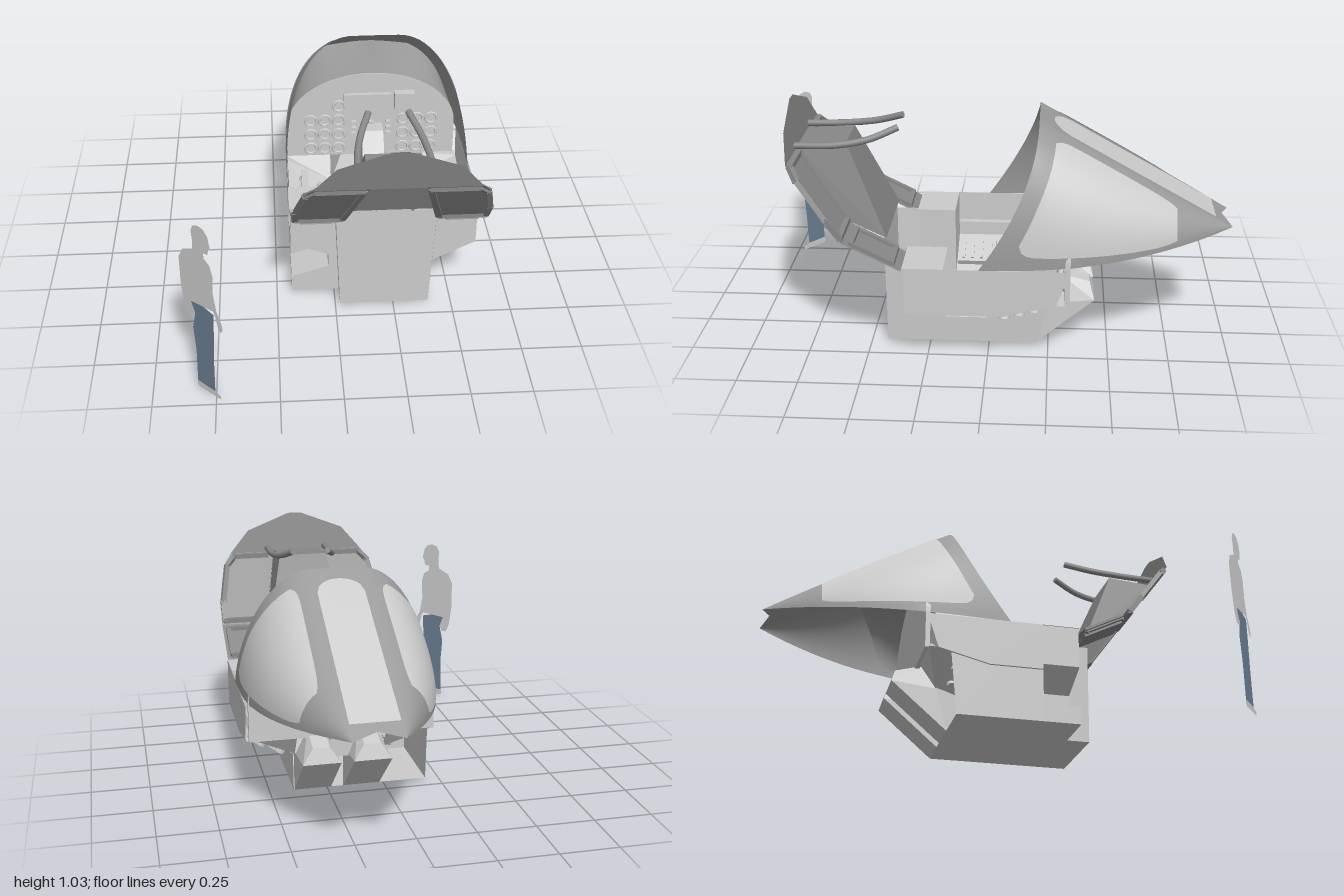
import * as THREE from 'three';

const mat = (color = 0xcccccc, flat = true) =>
  new THREE.MeshStandardMaterial({ color, flatShading: flat, side: THREE.DoubleSide });
const grey = mat(), dark = mat(0x888888), hoodMat = mat(0x9a9a9a, false), glass = mat(0xcccccc, false);
const tubeMat = mat(0x888888, false);
const V = (p) => new THREE.Vector3(...p);
const Z = new THREE.Vector3(0, 0, 1);
const MID = 0.21; // centre line of the cockpit

function add(parent, name, geo, m = grey, pos = [0, 0, 0]) {
  const mesh = new THREE.Mesh(geo, m);
  mesh.name = name;
  mesh.position.set(...pos);
  parent.add(mesh);
  return mesh;
}
const box = (parent, name, size, pos, m = grey) => add(parent, name, new THREE.BoxGeometry(...size), m, pos);

// Flat sheet through any planar outline
function sheet(parent, name, pts, m = grey) {
  const n = new THREE.Vector3();
  pts.forEach((p, i) => n.add(V(p).cross(V(pts[(i + 1) % pts.length]))));
  const a = [Math.abs(n.x), Math.abs(n.y), Math.abs(n.z)];
  const drop = a.indexOf(Math.max(...a));
  const flat = pts.map((p) => new THREE.Vector2(...p.filter((_, i) => i !== drop)));
  const g = new THREE.BufferGeometry();
  g.setAttribute('position', new THREE.Float32BufferAttribute(pts.flat(), 3));
  g.setIndex(THREE.ShapeUtils.triangulateShape(flat, []).flat());
  g.computeVertexNormals();
  return add(parent, name, g, m);
}

// Square bar between two points
function bar(parent, name, a, b, w, m) {
  const A = V(a), B = V(b);
  const mesh = box(parent, name, [w, w, A.distanceTo(B) + w * 0.5], A.clone().lerp(B, 0.5).toArray(), m);
  mesh.quaternion.setFromUnitVectors(Z, B.sub(A).normalize());
}

// Curved surface from a function of u, v in 0..1
function surface(parent, name, fn, nu, nv, m) {
  const g = new THREE.PlaneGeometry(1, 1, nu, nv);
  const p = g.attributes.position, uv = g.attributes.uv;
  for (let i = 0; i < p.count; i++) p.setXYZ(i, ...fn(uv.getX(i), uv.getY(i)));
  g.computeVertexNormals();
  return add(parent, name, g, m);
}

const shapeOf = (pts) => new THREE.Shape(pts.map((p) => new THREE.Vector2(...p)));
const extrude = (pts, depth) => new THREE.ExtrudeGeometry(shapeOf(pts), { depth, bevelEnabled: false });

// Hood section rules along z
const lerp = THREE.MathUtils.lerp;
const topY = (z) => 0.53 + 0.45 * (z + 1) / 0.8;
const lowY = (z) => 0.45 + 0.08 * Math.pow(Math.max(0, (0.03 - z) / 1.03), 1.8);
const halfW = (z) => 0.1 + 0.3 * (1 - Math.pow(THREE.MathUtils.clamp((-0.1 - z) / 0.9, 0, 1), 2.2));
const mouthZ = (phi) => -0.2 + 0.23 * Math.pow(1 - Math.cos(phi), 1.65);
function hoodPoint(k, phi, z, lift = 0) {
  return [k * (0.1 + (halfW(z) - 0.1 + lift) * Math.sin(phi)),
    lowY(z) + (Math.min(topY(z), 0.98) - lowY(z) + lift) * Math.cos(phi), z];
}

function buildHood(root) {
  const hood = new THREE.Group();
  hood.name = 'hood';
  root.add(hood);
  for (const k of [-1, 1]) {
    surface(hood, 'hoodSide', (u, v) => {
      const phi = u * Math.PI / 2;
      return hoodPoint(k, phi, lerp(mouthZ(phi), -1, v));
    }, 24, 32, hoodMat);
    // Side window follows the hood, with corners drawn in
    surface(hood, 'sideWindow', (u, v) => {
      const e = 0.08 * Math.pow(Math.abs(2 * v - 1), 10);
      const q = lerp(e, 1 - e, u);
      const z = lerp(mouthZ(lerp(0.25, 1.4, q)) - 0.07, -0.76, v);
      const start = Math.asin(0.07 / Math.max(0.08, halfW(z) - 0.1));
      return hoodPoint(k, lerp(start, 1.47, q), z, 0.004);
    }, 16, 24, glass);
  }
  // Flat centre strip with a small notch at the nose
  surface(hood, 'hoodCentre', (u, v) => {
    const x = (u * 2 - 1) * 0.1;
    const z = lerp(-0.2, -0.965 - 0.35 * Math.abs(x), v);
    return [x, topY(z), z];
  }, 8, 4, hoodMat);
  surface(hood, 'frontWindow', (u, v) => {
    const s = u * 2 - 1;
    const z = lerp(-0.33 + 0.07 * Math.sqrt(1 - s * s), -0.93, v);
    return [s * 0.097, topY(z) + 0.004, z];
  }, 16, 2, glass);
}

function buildTub(root) {
  sheet(root, 'floor', [[-0.19, 0.013, 0.43], [0.19, 0.013, 0.43], [0.19, 0.013, -0.2], [-0.19, 0.013, -0.2]]);
  sheet(root, 'rearWall', [[-0.19, 0.013, 0.43], [0.19, 0.013, 0.43], [0.21, 0.49, 0.43], [-0.21, 0.49, 0.43]]);
  for (const k of [-1, 1]) {
    const rear = k > 0 ? 0.33 : 0.17; // the right bay ends in a notched block
    const f = (name, pts) => sheet(root, name, pts.map(([x, y, z]) => [k * x, y, z]));
    f('tubWall', [[0.19, 0.013, 0.43], [0.209, 0.45, 0.43], [0.209, 0.45, 0.33], [0.195, 0.14, 0.33],
      [0.195, 0.14, -0.06], [0.198, 0.2, -0.25], [0.19, 0.013, -0.2]]);
    f('consolePanel', [[0.19, 0.14, rear], [0.4, 0.245, rear], [0.4, 0.245, -0.06], [0.19, 0.14, -0.06]]);
    f('consoleFront', [[0.19, 0.14, -0.06], [0.4, 0.245, -0.06], [0.4, 0.3, -0.28]]);
    f('consoleFront', [[0.19, 0.14, -0.06], [0.4, 0.3, -0.28], [0.19, 0.2, -0.25]]);
    f('consoleNose', [[0.19, 0.2, -0.25], [0.4, 0.3, -0.28], [0.4, 0.3, -0.32], [0.19, 0.3, -0.32]]);
    f('outerWall', [[0.4, 0.245, rear], [0.4, 0.45, rear], [0.4, 0.45, -0.33], [0.4, 0.3, -0.28], [0.4, 0.245, -0.06]]);
    f('bayEnd', [[0.19, 0.14, rear], [0.4, 0.245, rear], [0.4, 0.45, rear], [0.19, 0.45, rear]]);
    f('deck', [[0.19, 0.45, 0.335], [0.4, 0.45, 0.335], [0.4, 0.45, 0.17], [0.19, 0.45, 0.17]]);

    // Switch boxes and dials set into the sloped console
    const tilt = new THREE.Group();
    tilt.name = 'consoleControls';
    tilt.position.set(k * 0.295, 0.195, 0);
    tilt.rotation.z = k * Math.atan2(0.105, 0.21);
    root.add(tilt);
    box(tilt, 'switchBox', [0.13, 0.03, 0.17], [0, 0.008, 0.08]);
    for (let i = 0; i < 4; i++) box(tilt, 'switchRow', [0.1, 0.04, 0.012], [0, 0.012, 0.02 + i * 0.04]);
    for (let i = 0; i < 6; i++) {
      const row = Math.floor(i / 2);
      add(tilt, 'dial', new THREE.CylinderGeometry(0.022, 0.022, 0.03, 12), grey,
        [i % 2 ? 0.045 : -0.045, 0.004 + 0.014 * row, -0.07 - 0.06 * row]);
    }
    box(root, 'sideRail', [0.03, 0.03, 0.28], [k * 0.32, 0.33, 0.02]);

    // Foot tunnels reaching towards the nose, with chamfered tops
    const cx = k * 0.107;
    const lower = extrude([[0.2, 0.013], [0.44, 0.22], [0.25, 0.2], [0.2, 0.2]], 0.16);
    lower.rotateY(Math.PI / 2);
    add(root, 'footTunnel', lower, grey, [cx - 0.08, 0, 0]);
    const low = (s) => [cx + s * 0.08, 0.22, -0.44], tip = (s) => [cx + s * 0.035, 0.285, -0.42];
    const ridge = (s) => [cx + s * 0.035, 0.32, -0.29], base = (s) => [cx + s * 0.08, 0.2, -0.25];
    for (const s of [-1, 1]) sheet(root, 'tunnelChamfer', [low(s), tip(s), ridge(s), base(s)]);
    sheet(root, 'tunnelEnd', [low(-1), low(1), tip(1), tip(-1)]);
    sheet(root, 'tunnelTop', [tip(-1), tip(1), ridge(1), ridge(-1)]);
  }
  // Deep bay on the right-hand side, notched at its rear end
  add(root, 'notchedBay', extrude([[-0.19, 0.013], [-0.395, 0.013], [-0.395, 0.09], [-0.235, 0.14],
    [-0.235, 0.2], [-0.395, 0.27], [-0.395, 0.45], [-0.19, 0.45]], 0.16), grey, [0, 0, 0.17]);
  sheet(root, 'bayWall', [[-0.395, 0.013, 0.17], [-0.395, 0.45, 0.17], [-0.395, 0.45, -0.24], [-0.395, 0.013, -0.2]]);
  sheet(root, 'bayFloor', [[-0.395, 0.013, 0.17], [-0.19, 0.013, 0.17], [-0.19, 0.013, -0.2], [-0.395, 0.013, -0.2]]);
  sheet(root, 'bayDivider', [[-0.395, 0.013, 0.17], [-0.19, 0.013, 0.17], [-0.19, 0.45, 0.17], [-0.395, 0.45, 0.17]]);
}

function buildInstruments(root) {
  // Arched panel, joined to the hood by a cowl
  const archPoint = (k, phi) => [k * 0.39 * Math.sin(phi), 0.46 + 0.27 * Math.cos(phi)];
  const outline = [[-0.39, 0.3], [0.39, 0.3]];
  for (let i = 16; i >= -16; i--) outline.push(archPoint(1, i * Math.PI / 32));
  add(root, 'instrumentPanel', extrude(outline, 0.02), grey, [0, 0, -0.335]);
  for (const k of [-1, 1])
    surface(root, 'panelCowl', (u, v) => {
      const phi = u * Math.PI / 2;
      const [ax, ay] = archPoint(k, phi);
      const [hx, hy, hz] = hoodPoint(k, phi, lerp(-0.62, -0.4, u));
      return [lerp(ax, hx * Math.min(1, u * 4), v), lerp(ay, hy, v), lerp(-0.32, hz, v)];
    }, 16, 6, hoodMat);
  // Gauges, switches and screens
  const ring = new THREE.TorusGeometry(0.026, 0.006, 6, 16), face = new THREE.CircleGeometry(0.024, 16);
  for (const k of [-1, 1])
    for (let i = 0; i < 10; i++) {
      const p = [k * (0.15 + 0.065 * (i % 3)), 0.34 + 0.075 * Math.floor(i / 3), -0.312];
      add(root, 'gaugeRing', ring, grey, p);
      add(root, 'gaugeFace', face, grey, p);
    }
  for (let i = 0; i < 9; i++)
    box(root, 'panelSwitch', [0.022, 0.012, 0.03], [-0.08 + 0.08 * (i % 3), 0.42 + 0.03 * Math.floor(i / 3), -0.31]);
  box(root, 'wideScreen', [0.22, 0.06, 0.03], [-0.02, 0.6, -0.31]);
  box(root, 'sideScreen', [0.09, 0.08, 0.05], [0.15, 0.6, -0.3]);
  // Sloped centre pedestal
  const pedestal = extrude([[0.32, 0.2], [0.32, 0.47], [0.24, 0.47], [0.12, 0.36], [0.2, 0.2]], 0.1);
  pedestal.rotateY(Math.PI / 2);
  add(root, 'pedestal', pedestal, grey, [-0.05, 0, 0]);
}

// Rear canopy frame, folded back: z follows height in three flat stages
function buildCanopyFrame(root) {
  const frame = new THREE.Group();
  frame.name = 'rearCanopyFrame';
  root.add(frame);
  const steps = [[0.43, 0.33], [0.55, 0.57], [0.845, 0.79], [1.03, 0.825]];
  const at = (x, y, up = 0) => {
    const i = y <= 0.55 ? 0 : y <= 0.845 ? 1 : 2;
    const [a, b] = [steps[i], steps[i + 1]];
    return [x, y + up, lerp(a[1], b[1], (y - a[0]) / (b[0] - a[0])) - up];
  };
  sheet(frame, 'topPanel', [[-0.32, 0.845], [0.32, 0.845], [0.23, 0.95], [0.03, 1.026], [-0.03, 1.026], [-0.23, 0.95]]
    .map((p) => at(...p)), dark);
  for (const k of [-1, 1]) {
    const f = (name, pts) => sheet(frame, name, pts.map(([x, y]) => at(k * x, y)), dark);
    f('lowerPanel', [[0.395, 0.435], [0.208, 0.435], [0.18, 0.55], [0.395, 0.55]]);
    f('sidePanel', [[0.395, 0.55], [0.18, 0.55], [0.105, 0.845], [0.32, 0.845], [0.355, 0.8], [0.395, 0.64]]);
    // Rims around both openings, standing out on both faces
    const rims = [[[0.38, 0.565], [0.195, 0.565], [0.125, 0.83], [0.305, 0.83], [0.345, 0.79], [0.38, 0.64]],
      [[0.37, 0.455], [0.225, 0.455], [0.225, 0.535], [0.37, 0.535]]];
    for (const rim of rims)
      rim.forEach((p, i) => {
        const q = rim[(i + 1) % rim.length];
        bar(frame, 'windowRim', at(k * p[0], p[1], 0.003), at(k * q[0], q[1], 0.003), 0.022, dark);
      });
    const hinge = box(frame, 'hingeBlock', [0.13, 0.02, 0.19], [k * 0.295, 0.485, 0.455], dark);
    hinge.rotation.x = -Math.atan2(0.12, 0.24);
    // Grab tube
    const curve = new THREE.CatmullRomCurve3([[0.14, 0.865, 0.79], [0.14, 0.87, 0.62], [0.12, 0.89, 0.49], [0.08, 0.93, 0.375]]
      .map(([x, y, z]) => new THREE.Vector3(k * x, y, z)));
    add(frame, 'grabTube', new THREE.TubeGeometry(curve, 16, 0.014, 10), tubeMat);
    for (const t of [0, 1])
      add(frame, 'tubeCap', new THREE.CircleGeometry(0.014, 10), dark, curve.getPointAt(t).toArray())
        .quaternion.setFromUnitVectors(Z, curve.getTangentAt(t).multiplyScalar(t ? 1 : -1));
    sheet(frame, 'fairingSide', [[k * 0.2, 0.49, 0.42], [k * 0.11, 0.87, 0.585], [k * 0.11, 0.855, 0.785], [k * 0.18, 0.55, 0.57]], dark);
  }
  sheet(frame, 'fairingFace', [[-0.2, 0.49, 0.42], [0.2, 0.49, 0.42], [0.11, 0.87, 0.585], [-0.11, 0.87, 0.585]], dark);
  sheet(frame, 'fairingTop', [[-0.11, 0.87, 0.585], [0.11, 0.87, 0.585], [0.11, 0.855, 0.785], [-0.11, 0.855, 0.785]], dark);
}

// Flat standing figure for scale
function buildFigure(root) {
  const fig = new THREE.Group();
  fig.name = 'scaleFigure';
  fig.position.set(-0.53, 0, 0.93);
  fig.rotation.y = -0.75;
  fig.scale.set(0.0045, 0.00328, 1);
  root.add(fig);
  const part = (name, pts, color) => add(fig, name, new THREE.ShapeGeometry(shapeOf(pts)), mat(color));
  part('upperBody', [[-14, 131], [12, 134], [14, 128], [17, 110], [20, 108], [22, 114], [21, 122], [16, 136], [13, 160], [14, 186],
    [11, 199], [5, 205], [5, 212], [10, 213], [11, 220], [13, 224], [11, 238], [7, 245], [1, 247], [-5, 244], [-8, 236], [-7, 222],
    [-8, 210], [-20, 202], [-25, 188], [-25, 150], [-22, 120], [-18, 108], [-13, 108], [-10, 116]], 0xcccccc);
  part('trousers', [[-14, 131], [0, 133], [12, 129], [11, 100], [9, 60], [8, 8], [-13, 9], [-12, 60], [-14, 92], [-10, 116]], 0x687d92);
  part('shoes', [[-13, 9], [8, 8], [15, 4], [14, 0], [-12, 0], [-14, 3]], 0xcccccc);
}

export function createModel() {
  const model = new THREE.Group();
  model.name = 'cockpitWithFigure';
  const cockpit = new THREE.Group();
  cockpit.name = 'cockpit';
  cockpit.position.x = MID;
  model.add(cockpit);
  [buildTub, buildHood, buildInstruments, buildCanopyFrame].forEach((build) => build(cockpit));
  buildFigure(model);
  return model;
}
